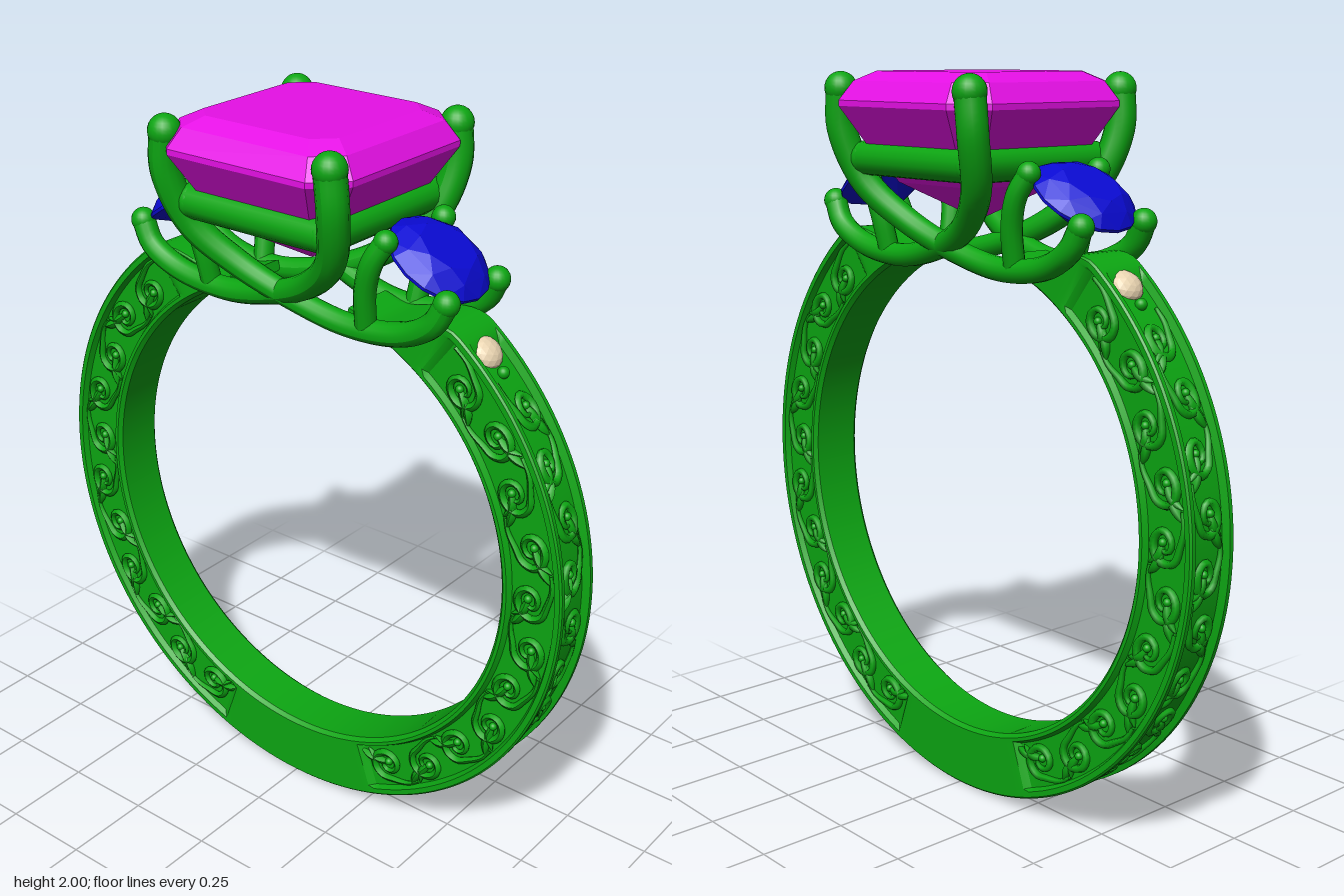
import * as THREE from 'three';
import { toCreasedNormals } from 'three/addons/utils/BufferGeometryUtils.js';
import { ConvexGeometry } from 'three/addons/geometries/ConvexGeometry.js';

const CY = 0.858, RI = 0.676, RO = 0.857; // band centre height and radii
const rad = THREE.MathUtils.degToRad, ss = THREE.MathUtils.smoothstep;
const V = (x, y, z) => new THREE.Vector3(x, y, z);
const metal = new THREE.MeshStandardMaterial({ color: 0x0ca612 });
const gem = (color) => new THREE.MeshStandardMaterial({ color, flatShading: true });
const magenta = gem(0xe610e6), blue = gem(0x0a0ad2), cream = gem(0xe8d3b0);

function add(parent, name, geo, mat = metal) {
  const m = new THREE.Mesh(geo, mat);
  m.name = name;
  parent.add(m);
  return m;
}

// Tube whose radius follows r(t)
function taperTube(points, r, segs, sides) {
  const curve = new THREE.CatmullRomCurve3(points);
  const geo = new THREE.TubeGeometry(curve, segs, 1, sides);
  const p = geo.attributes.position, v = V(0, 0, 0);
  for (let i = 0; i <= segs; i++) {
    const c = curve.getPointAt(i / segs);
    for (let j = 0; j <= sides; j++) {
      const k = i * (sides + 1) + j;
      v.fromBufferAttribute(p, k).sub(c).multiplyScalar(r(i / segs)).add(c);
      p.setXYZ(k, v.x, v.y, v.z);
    }
  }
  geo.computeVertexNormals();
  return geo;
}

function ball(parent, name, p, r) {
  add(parent, name, new THREE.SphereGeometry(r, 20, 14)).position.copy(p);
}

// Band: cross-section with recessed panels, swept around; a is the angle from the top in degrees
function bandSection(a) {
  const b = Math.min(a, 360 - a);
  const ro = 0.705 + (RO - 0.705) * ss(b, 19, 37);
  const side = 0.016 * ss(b, 35, 37) * (1 - ss(b, 159, 161));
  const top = 0.02 * ss(b, 39, 41) * (1 - ss(b, 159, 161));
  const e = Math.min(0.02, (ro - RI) * 0.2), z = 0.079;
  const half = [ // from the inside edge out to the rim, +z side
    [RI, 0.068], [RI + e * 0.5, z], [RI + e, z], [RI + e * 1.4, z - side],
    [ro - e * 1.4, z - side], [ro - e, z], [ro - e * 0.25, z], [ro, z - 0.005],
    [ro, 0.062], [ro - top, 0.055],
  ];
  return [...half.map(([r, w]) => [r, -w]), ...half.reverse()];
}

function bandGeometry() {
  const pos = [], idx = [], steps = 240, a0 = 15;
  const n = bandSection(90).length;
  for (let i = -1; i <= steps + 1; i++) {
    const a = a0 + (360 - 2 * a0) * THREE.MathUtils.clamp(i / steps, 0, 1);
    const cap = i < 0 || i > steps; // end rings collapse to close the band
    for (const [r, z] of bandSection(a)) {
      const R = cap ? RI + 0.012 : r;
      pos.push(R * Math.sin(rad(a)), CY + R * Math.cos(rad(a)), cap ? 0 : z);
    }
  }
  for (let i = 0; i < steps + 2; i++) for (let j = 0; j < n; j++) {
    const k = (j + 1) % n, a = i * n + j, b = i * n + k;
    idx.push(a, b, b + n, a, b + n, a + n);
  }
  const geo = new THREE.BufferGeometry();
  geo.setAttribute('position', new THREE.Float32BufferAttribute(pos, 3));
  geo.setIndex(idx);
  return toCreasedNormals(geo, 0.5);
}

// Scrollwork: volutes alternating across a panel; map(u, v) places arc length u and offset v
function scrolls(parent, map, start, end, k) {
  const count = 11, step = (end - start) / count;
  for (let i = 0; i < count; i++) {
    const s = i % 2 ? 1 : -1, u = start + (i + 0.55) * step;
    const pts = [map(u - step * 0.5, -s * 0.055 * k), map(u - step * 0.22, -s * 0.056 * k)];
    for (let j = 0; j <= 14; j++) {
      const t = j / 14, ang = -Math.PI / 2 + t * Math.PI * 3.2, r = 0.05 * (1 - 0.85 * t);
      pts.push(map(u + 0.012 + r * 1.15 * Math.cos(ang), s * k * (0.008 + r * Math.sin(ang))));
    }
    add(parent, 'scroll', taperTube(pts, (t) => 0.005 + 0.007 * Math.sin(Math.PI * t), 34, 5));
    ball(parent, 'scrollBud', pts[pts.length - 1], 0.011);
    // Leaves filling the gaps
    for (const q of [0, 1]) {
      const w = u + step * (0.3 + q * 0.22);
      const leaf = [map(w - 0.045, s * 0.012 * k), map(w, s * (0.026 + q * 0.012) * k), map(w + 0.025, s * 0.058 * k)];
      add(parent, 'scrollLeaf', taperTube(leaf, (t) => 0.002 + 0.011 * Math.sin(Math.PI * t), 10, 5));
    }
  }
}

// Step-cut square stone from clipped-square rings
function squareStone() {
  const pts = [V(0, 1.61, 0)];
  const rings = [[0.215, 2, 0.05], [0.265, 1.975, 0.065], [0.3, 1.925, 0.08], [0.3, 1.91, 0.08],
    [0.225, 1.79, 0.05], [0.17, 1.71, 0.04]];
  for (const [h, y, c] of rings)
    for (const s of [-1, 1]) for (const t of [-1, 1])
      pts.push(V(s * h, y, t * (h - c)), V(s * (h - c), y, t * h));
  return new ConvexGeometry(pts);
}

// Round brilliant stone, girdle at y = 0
function roundStone(R) {
  const pts = [V(0, -0.62 * R, 0)];
  const ring = (n, r, y, off) => {
    for (let i = 0; i < n; i++) {
      const a = ((i + off) / n) * Math.PI * 2;
      pts.push(V(R * r * Math.cos(a), R * y, R * r * Math.sin(a)));
    }
  };
  ring(8, 0.56, 0.34, 0);
  ring(8, 0.8, 0.22, 0.5);
  ring(16, 1, 0.03, 0);
  ring(16, 1, -0.03, 0);
  return new ConvexGeometry(pts);
}

export function createModel() {
  const model = new THREE.Group();
  add(model, 'band', bandGeometry());

  // Engraved scrollwork on both faces and the outer edge, each side of the band
  const scrollwork = new THREE.Group();
  scrollwork.name = 'scrollwork';
  model.add(scrollwork);
  const RM = 0.767;
  const polar = (s, r, a, z) => V(s * r * Math.sin(a), CY + r * Math.cos(a), z);
  for (const s of [-1, 1]) {
    for (const t of [-1, 1])
      scrolls(scrollwork, (u, v) => polar(s, RM + v, u / RM, t * 0.066), rad(37) * RM, rad(158) * RM, 1);
    scrolls(scrollwork, (u, v) => polar(s, 0.84, u / 0.84, v), rad(46) * 0.84, rad(158) * 0.84, 0.8);
  }

  // Centre stone and its square gallery rail
  add(model, 'centreStone', squareStone(), magenta);
  const rail = new THREE.Group();
  rail.name = 'galleryRail';
  model.add(rail);
  for (let i = 0; i < 4; i++) {
    const bar = add(rail, 'railBar', new THREE.CapsuleGeometry(0.046, 0.43, 6, 14).rotateZ(Math.PI / 2));
    bar.position.set(i % 2 ? (i - 2) * 0.215 : 0, 1.773, i % 2 ? 0 : (i - 1) * 0.215);
    bar.rotation.y = i % 2 ? Math.PI / 2 : 0;
  }

  const sweep = [[0.262, 1.955, 0.26], [0.268, 1.85, 0.255], [0.228, 1.71, 0.21], [0.12, 1.61, 0.155],
    [-0.02, 1.545, 0.122], [-0.2, 1.505, 0.106], [-0.37, 1.523, 0.108], [-0.465, 1.575, 0.114], [-0.5, 1.635, 0.11]];
  const inner = [[0.325, 1.755, 0.122], [0.295, 1.7, 0.135], [0.27, 1.62, 0.128], [0.258, 1.51, 0.106]];
  for (const s of [-1, 1]) {
    for (const t of [-1, 1]) {
      // Each prong sweeps from a corner of the centre stone under to the opposite side stone
      const a = sweep.map(([x, y, z]) => V(s * x, y, t * z));
      add(model, 'sweepingProng', taperTube(a, (q) => 0.041 - 0.009 * ss(q, 0.1, 0.6), 64, 14));
      ball(model, 'centreProngTip', a[0], 0.044);
      ball(model, 'sideProngTip', a[a.length - 1], 0.034);
      // Inner prong of the side stone
      const b = inner.map(([x, y, z]) => V(s * x, y, t * z));
      add(model, 'innerProng', taperTube(b, () => 0.029, 24, 12));
      ball(model, 'innerProngTip', b[0], 0.031);
    }
    // Side stone, tilted outward
    const stone = add(model, 'sideStone', roundStone(0.141), blue);
    stone.position.set(s * 0.4, 1.695, 0);
    stone.rotation.z = -s * rad(33);

    // Accent stone set in the top of the shoulder, with a bead below it
    const accent = add(model, 'accentStone', new THREE.IcosahedronGeometry(0.048, 2), cream);
    accent.position.copy(polar(s, 0.832, rad(41), 0));
    accent.rotation.z = -s * rad(41);
    accent.scale.set(1, 0.7, 1);
    ball(model, 'accentBead', polar(s, 0.842, rad(45.5), 0), 0.016);
  }
  return model;
}
